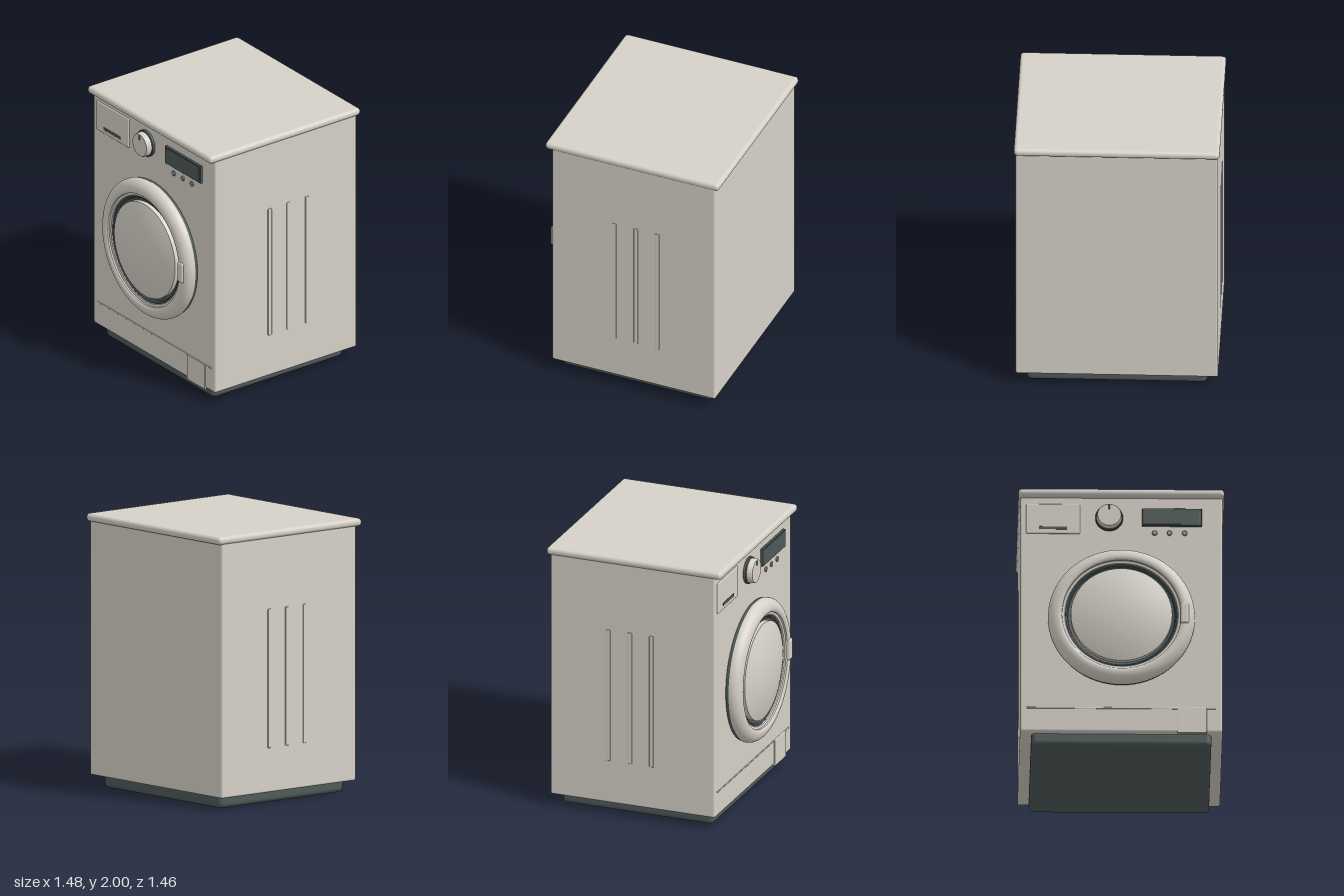
import * as THREE from 'three';
import { RoundedBoxGeometry } from 'three/addons/geometries/RoundedBoxGeometry.js';
import { toCreasedNormals } from 'three/addons/utils/BufferGeometryUtils.js';

export function createModel() {
  const model = new THREE.Group();
  model.name = 'washingMachine';

  const material = (name, color) => {
    const m = new THREE.MeshStandardMaterial({ color });
    m.name = name;
    return m;
  };
  const enamel = material('warm white enamel', 0xd6d1c8);
  const dark = material('dark slate plastic', 0x4e5a58);
  const grey = material('button grey', 0x9a9892);

  const add = (name, geometry, mat, parent = model) => {
    const mesh = new THREE.Mesh(geometry, mat);
    mesh.name = name;
    parent.add(mesh);
    return mesh;
  };

  // Rounded box given by its extents on each axis
  const box = (name, mat, [x0, x1], [y0, y1], [z0, z1], radius, parent) => {
    const mesh = add(name, new RoundedBoxGeometry(x1 - x0, y1 - y0, z1 - z0, 4, radius), mat, parent);
    mesh.position.set((x0 + x1) / 2, (y0 + y1) / 2, (z0 + z1) / 2);
    return mesh;
  };

  // Turned part facing +z, from points of [radius, z]
  const turned = (name, mat, points, x, y, parent, segments = 72) => {
    const profile = points.map(([r, z]) => new THREE.Vector2(r, z));
    const geometry = toCreasedNormals(new THREE.LatheGeometry(profile, segments), 0.6);
    geometry.rotateX(Math.PI / 2);
    // Turning the y axis onto +z keeps the outward faces outward
    const mesh = add(name, geometry, mat, parent);
    mesh.position.set(x, y, 0);
    return mesh;
  };

  // Cabinet, worktop and recessed plinth
  box('cabinet', enamel, [-0.73, 0.73], [0.09, 1.96], [-0.70, 0.58], 0.015);
  box('worktop', enamel, [-0.742, 0.742], [1.942, 2.0], [-0.73, 0.632], 0.027);
  box('plinth', dark, [-0.65, 0.65], [0.005, 0.12], [-0.64, 0.535], 0.035).position.y = 0.0575;

  // Raised ribs on both sides
  for (const side of [-1, 1]) {
    for (const z of [0.088, -0.08, -0.248]) {
      const rib = box('sideRib', enamel, [-0.01, 0.01], [0.415, 1.43], [z - 0.017, z + 0.017], 0.006);
      rib.position.x = side * 0.727;
    }
  }

  // Door: dark backing, rounded rim, inner seal and bulging centre
  const door = new THREE.Group();
  door.name = 'door';
  model.add(door);
  const doorY = 0.98;
  turned('doorBacking', dark, [[0.52, 0.575], [0.525, 0.59], [0.525, 0.608], [0.4, 0.608]], 0, doorY, door);

  const rim = [[0.5, 0.603], [0.53, 0.606]];
  for (let i = 0; i <= 10; i++) {
    const a = (i / 10) * Math.PI / 2;
    rim.push([0.452 + 0.078 * Math.cos(a), 0.618 + 0.069 * Math.sin(a)]);
  }
  rim.push([0.438, 0.684], [0.43, 0.676], [0.428, 0.664], [0.41, 0.66], [0.406, 0.655], [0.406, 0.6]);
  turned('doorRim', enamel, rim, 0, doorY, door);

  turned('doorSeal', dark, [
    [0.412, 0.6], [0.41, 0.652], [0.402, 0.657], [0.392, 0.652], [0.385, 0.638], [0.366, 0.632], [0.35, 0.632],
  ], 0, doorY, door);

  const dome = [[0.366, 0.61]];
  for (let i = 0; i <= 14; i++) {
    const r = 0.366 * (1 - i / 14);
    dome.push([r, 0.727 - 1.13 + Math.sqrt(1.13 * 1.13 - r * r)]);
  }
  turned('doorBowl', enamel, dome, 0, doorY, door);
  box('doorHandle', enamel, [0.425, 0.485], [0.905, 1.067], [0.655, 0.696], 0.016, door);

  // Detergent drawer with finger slot
  box('detergentDrawer', enamel, [-0.687, -0.298], [1.658, 1.892], [0.565, 0.589], 0.008);
  box('drawerSlot', dark, [-0.593, -0.391], [1.69, 1.712], [0.587, 0.593], 0.002);

  // Programme dial
  const dialX = -0.088, dialY = 1.782;
  turned('dialCollar', dark, [[0.1, 0.575], [0.1, 0.598], [0.095, 0.603], [0, 0.603]], dialX, dialY);
  turned('dial', enamel, [[0.091, 0.6], [0.089, 0.638], [0.084, 0.646], [0, 0.646]], dialX, dialY);
  box('dialPointer', dark, [-0.092, -0.084], [1.825, 1.862], [0.644, 0.652], 0.002);

  // Display and push buttons
  box('displayFrame', dark, [0.15, 0.58], [1.72, 1.857], [0.57, 0.598], 0.004);
  box('displayScreen', dark, [0.156, 0.566], [1.73, 1.848], [0.594, 0.601], 0.002);
  for (const x of [0.24, 0.347, 0.456]) {
    turned('pushButton', grey, [[0.019, 0.575], [0.019, 0.588], [0.016, 0.591], [0, 0.591]], x, 1.667, model, 28);
  }

  // Kick panel seam and pump filter hatch
  box('kickPanelSeam', enamel, [-0.682, 0.682], [0.269, 0.281], [0.576, 0.584], 0.003);
  box('filterHatch', enamel, [0.403, 0.617], [0.08, 0.281], [0.568, 0.59], 0.005);

  model.position.y = 0;
  return model;
}
